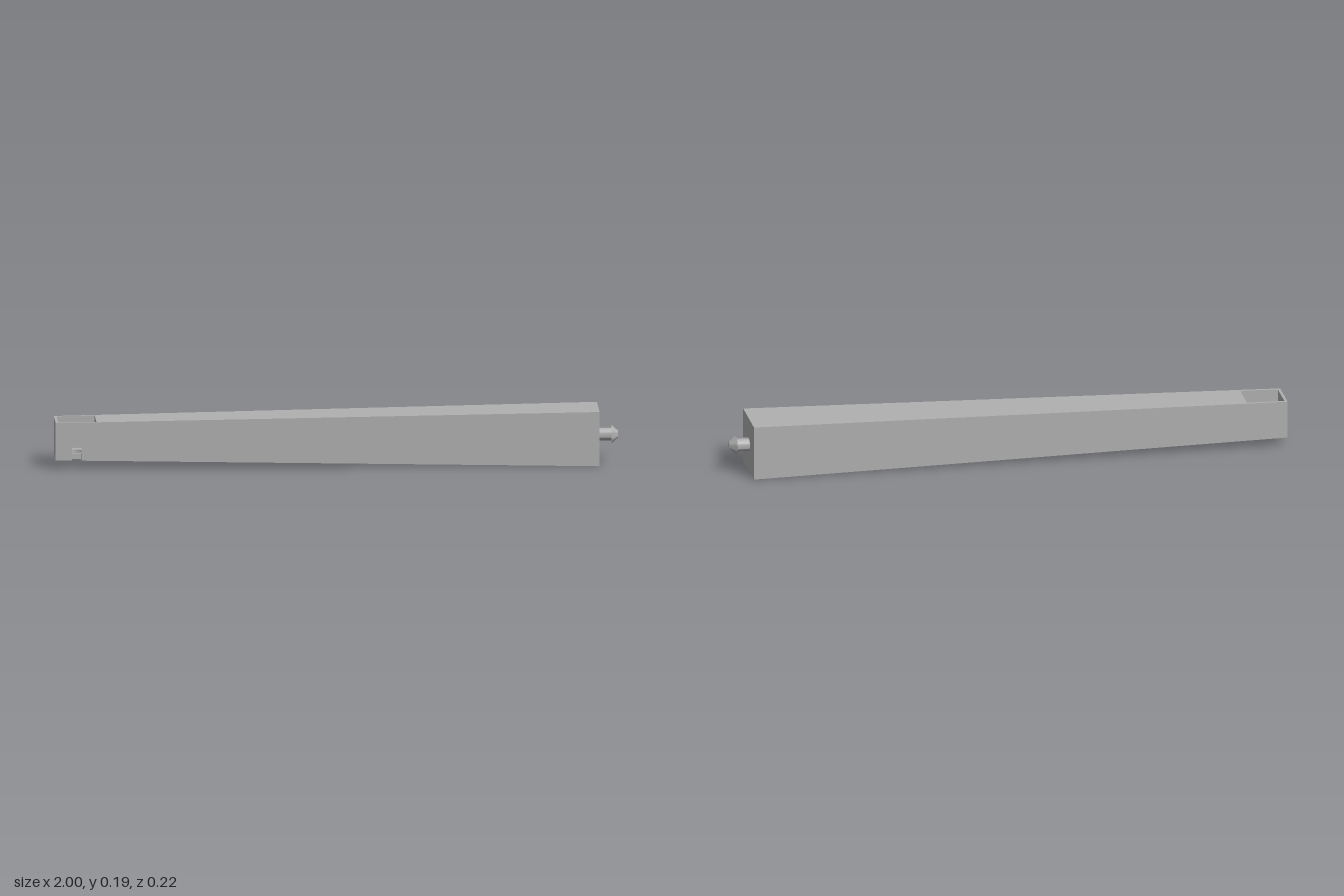
import * as THREE from 'three';
import { toCreasedNormals } from 'three/addons/utils/BufferGeometryUtils.js';

const grey = new THREE.MeshStandardMaterial({ color: 0xb0b0b0 });
grey.name = 'grey plastic';

const X0 = -1, X1 = 0.93;               // ends of the tapered beam
const CY = 0.0975;                      // beam axis height
const CAVITY_END = -0.855, END_WALL = 0.01, INNER_Z = 0.066, FLOOR = 0.05;
const HOLE_X = -0.925, HOLE_R = 0.034;
const NOTCH = 0.017, NOTCH_TOP = 0.09, NOTCH_Z = 0.043;

// Half height and half depth of the beam at x
const at = (x) => (x - X0) / (X1 - X0);
const halfH = (x) => THREE.MathUtils.lerp(0.067, 0.0975, at(x));
const halfZ = (x) => THREE.MathUtils.lerp(0.0755, 0.1076, at(x));
const top = (x) => CY + halfH(x);
const bottom = (x) => CY - halfH(x);

// Moves each vertex by a rule and rebuilds normals with sharp edges
function mould(geometry, rule) {
  const p = geometry.attributes.position, v = new THREE.Vector3();
  for (let i = 0; i < p.count; i++) {
    rule(v.fromBufferAttribute(p, i));
    p.setXYZ(i, v.x, v.y, v.z);
  }
  return toCreasedNormals(geometry, 0.5);
}

const polygon = (pts) => new THREE.Shape(pts.map(([x, y]) => new THREE.Vector2(x, y)));
const slab = (shape) => new THREE.ExtrudeGeometry(shape, { depth: 1, bevelEnabled: false, curveSegments: 32 });

function add(parent, name, geometry) {
  const mesh = new THREE.Mesh(geometry, grey);
  mesh.name = name;
  parent.add(mesh);
  return mesh;
}

// Half of the split snap pin, flat side facing the slot
function pinHalf() {
  const profile = [[0.022, X1 - 0.005], [0.022, 0.976], [0.033, 0.976], [0.012, 1], [0, 1]];
  const half = new THREE.Group();
  const round = new THREE.LatheGeometry(profile.map(([r, x]) => new THREE.Vector2(r, x)), 24, -Math.PI / 2, Math.PI);
  round.rotateZ(-Math.PI / 2);
  add(half, 'pinRoundSide', toCreasedNormals(round, 0.5));
  const outline = [...profile.map(([r, x]) => [x, -r]), ...profile.slice(0, 4).reverse().map(([r, x]) => [x, r])];
  add(half, 'pinFlatSide', new THREE.ShapeGeometry(polygon(outline)).rotateX(Math.PI));
  half.children.forEach((m) => { m.position.z = 0.0055; });
  return half;
}

export function createModel() {
  const model = new THREE.Group();
  model.name = 'taperedBeam';

  // Solid tapered length
  const length = X1 - CAVITY_END;
  add(model, 'beam', mould(new THREE.BoxGeometry(length, 2, 2), (v) => {
    v.x += CAVITY_END + length / 2;
    v.y = CY + v.y * halfH(v.x);
    v.z *= halfZ(v.x);
  }));

  // Socket at the narrow end
  const socket = new THREE.Group();
  socket.name = 'socket';
  model.add(socket);
  const n0 = HOLE_X - NOTCH, n1 = HOLE_X + NOTCH;

  // Floor with round hole and edge notch (drawn as x, -z)
  const floor = polygon([
    [X0, -halfZ(X0)], [n0, -halfZ(n0)], [n0, -NOTCH_Z], [n1, -NOTCH_Z], [n1, -halfZ(n1)],
    [CAVITY_END, -halfZ(CAVITY_END)], [CAVITY_END, halfZ(CAVITY_END)], [X0, halfZ(X0)],
  ]);
  floor.holes.push(new THREE.Path().absarc(HOLE_X, 0, HOLE_R, 0, Math.PI * 2, true));
  add(socket, 'socketFloor', mould(slab(floor).rotateX(-Math.PI / 2), (v) => {
    v.y = v.y < 0.5 ? bottom(v.x) : FLOOR;
  }));

  // Front wall with notch, plain back wall
  const upper = [[CAVITY_END, FLOOR], [CAVITY_END, top(CAVITY_END)], [X0, top(X0)], [X0, FLOOR]];
  const notch = [[n0, FLOOR], [n0, NOTCH_TOP], [n1, NOTCH_TOP], [n1, FLOOR]];
  add(socket, 'socketFrontWall', mould(slab(polygon([...upper, ...notch])), (v) => {
    v.z = v.z < 0.5 ? INNER_Z : halfZ(v.x);
  }));
  add(socket, 'socketBackWall', mould(slab(polygon(upper)), (v) => {
    v.z = v.z < 0.5 ? -halfZ(v.x) : -INNER_Z;
  }));

  // End wall
  add(socket, 'socketEndWall', mould(new THREE.BoxGeometry(END_WALL, 2, 2 * INNER_Z), (v) => {
    v.x += X0 + END_WALL / 2;
    v.y = v.y < 0 ? FLOOR : top(v.x);
  }));

  // Split snap pin at the wide end
  for (const [name, turn] of [['frontPinHalf', 0], ['backPinHalf', Math.PI]]) {
    const half = pinHalf();
    half.name = name;
    half.position.y = CY;
    half.rotation.x = turn;
    model.add(half);
  }
  return model;
}
